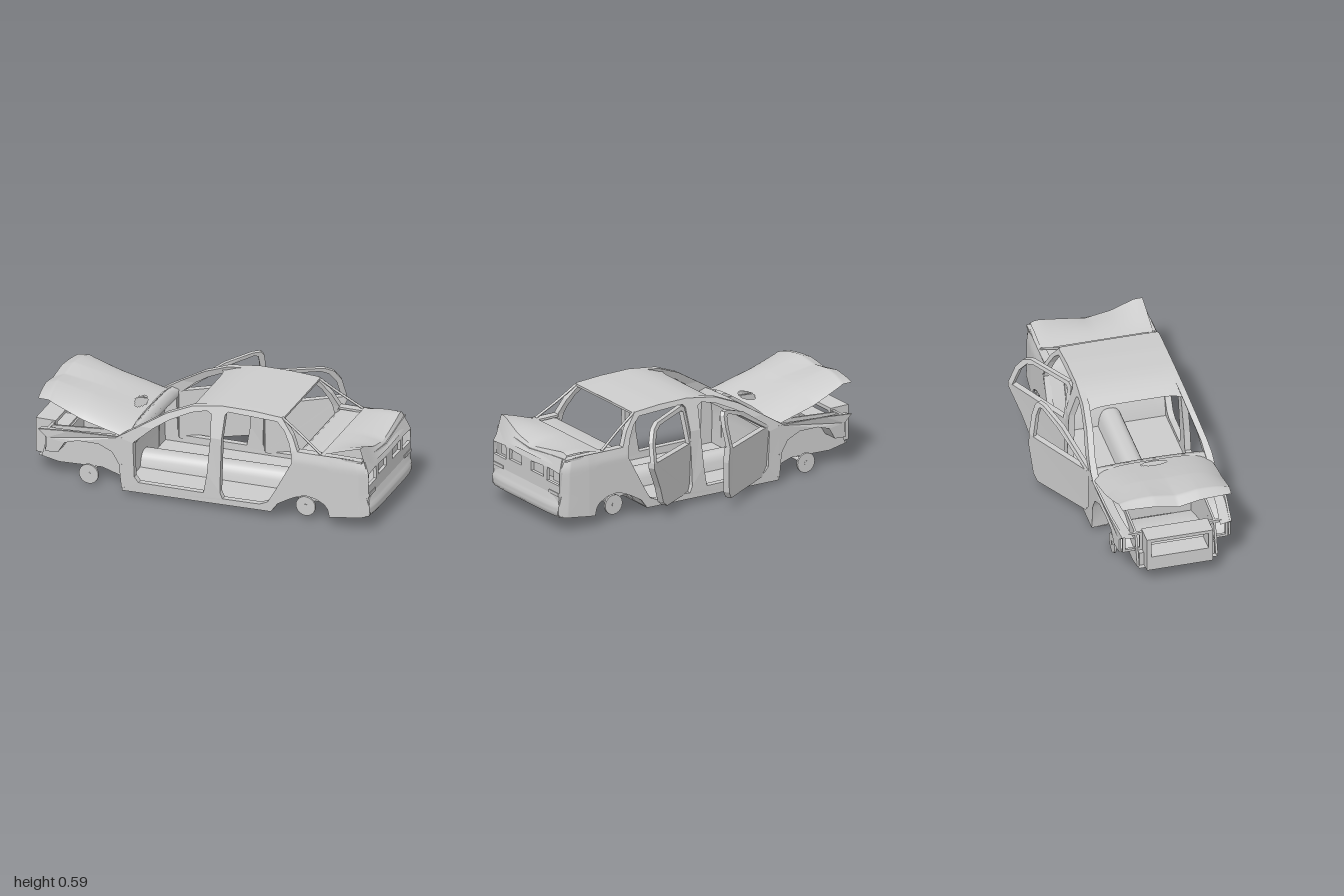
import * as THREE from 'three';

const mat = new THREE.MeshStandardMaterial({ color: 0xcccccc, side: THREE.DoubleSide });
const V = (a) => a.map(([x, y]) => new THREE.Vector2(x, y));

function add(parent, name, geo, x = 0, y = 0, z = 0) {
  const m = new THREE.Mesh(geo, mat);
  m.name = name;
  m.position.set(x, y, z);
  parent.add(m);
  return m;
}
const box = (p, name, w, h, d, x, y, z) => add(p, name, new THREE.BoxGeometry(w, h, d), x, y, z);

// Plate with holes
function plate(pts, depth, holes = []) {
  const s = new THREE.Shape(V(pts));
  holes.forEach((h) => s.holes.push(new THREE.Path(V(h))));
  return new THREE.ExtrudeGeometry(s, { depth, bevelEnabled: false });
}

// Move every vertex by a rule
function warp(geo, fn) {
  const p = geo.attributes.position;
  for (let i = 0; i < p.count; i++) p.setXYZ(i, ...fn(p.getX(i), p.getY(i), p.getZ(i)));
  geo.computeVertexNormals();
  return geo;
}
// Smooth sheet from a function of u, v in 0..1
const sheet = (nu, nv, fn) => warp(new THREE.PlaneGeometry(1, 1, nu, nv), (x, y) => fn(x + 0.5, y + 0.5));

// Piecewise linear curve through points
function lerp(pts, x) {
  for (let i = 1; i < pts.length; i++) {
    const [a, p] = pts[i - 1], [b, q] = pts[i];
    if (x <= b) return p + (q - p) * Math.max(0, (x - a) / (b - a));
  }
  return pts[pts.length - 1][1];
}
// Sheet spanning the car's width along an x-y profile
function across(profile, halfWidth, nv = 8, rise = 0) {
  const n = profile.length - 1;
  return sheet(n, nv, (u, v) => {
    const [x, y] = profile[Math.round(u * n)], t = 2 * v - 1;
    return [x, y + rise * (1 - t * t), -t * halfWidth];
  });
}
const strut = (parent, name, pts, r) => add(parent, name,
  new THREE.TubeGeometry(new THREE.CatmullRomCurve3(pts.map((p) => new THREE.Vector3(...p))), 12, r, 6));

// Half width of the body: tapered nose and tail, leaning greenhouse
const half = (x, y) => {
  const plan = lerp([[-0.95, 0.305], [-0.75, 0.33], [-0.4, 0.343], [0.8, 0.343], [0.93, 0.332], [0.985, 0.31]], x);
  return plan + lerp([[0.36, 0], [0.41, -0.012], [0.585, -0.065]], y);
};
const sidePlate = (pts, depth, s) => warp(plate(pts, depth),
  (x, y, z) => [x, y, s > 0 ? half(x, y) - depth + z : -half(x, y) + z]);

const lowerSide = [[-0.44, 0.018], [0.42, 0.036], [0.45, 0.09], [0.465, 0.147], [0.565, 0.345], [0.57, 0.41], [0.53, 0.41],
  [0.54, 0.345], [0.435, 0.147], [0.4, 0.09], [0.355, 0.07], [0.14, 0.065], [0.125, 0.1], [0.13, 0.41], [0.065, 0.41],
  [0.05, 0.2], [0.03, 0.083], [-0.345, 0.08], [-0.37, 0.11], [-0.378, 0.31], [-0.265, 0.41], [-0.345, 0.41],
  [-0.41, 0.37], [-0.47, 0.33], [-0.46, 0.17]];
const upperSide = [[-0.345, 0.41], [-0.265, 0.41], [-0.18, 0.467], [-0.06, 0.525], [0.03, 0.548], [0.055, 0.535],
  [0.065, 0.41], [0.13, 0.41], [0.135, 0.54], [0.15, 0.558], [0.435, 0.55], [0.48, 0.51], [0.515, 0.45], [0.53, 0.41],
  [0.57, 0.41], [0.53, 0.49], [0.46, 0.575], [0.3, 0.585], [0.12, 0.585], [-0.06, 0.558], [-0.2, 0.5]];
const arch = [[-0.445, 0.03], [-0.46, 0.17], [-0.5, 0.235], [-0.58, 0.268], [-0.7, 0.265], [-0.78, 0.238], [-0.82, 0.172], [-0.895, 0.163]];
const fender = [...arch, [-0.89, 0.245], [-0.94, 0.285], [-0.75, 0.312], [-0.47, 0.33], [-0.44, 0.33]];
const rearArch = [[0.42, 0.036], [0.46, 0.09], [0.52, 0.125], [0.57, 0.15], [0.62, 0.165], [0.68, 0.155], [0.73, 0.13], [0.752, 0.1]];

// Rear quarter panel between arch and shoulder, rounded into the tail
const quarterPanel = (s) => sheet(110, 16, (u, v) => {
  const x = 0.42 + 0.565 * u;
  const low = lerp([...rearArch, [0.757, 0.06], [0.86, 0.072], [0.96, 0.083], [0.985, 0.1]], x);
  const top = lerp([[0.42, 0.12], [0.445, 0.165], [0.54, 0.345], [0.552, 0.41], [0.8, 0.415], [0.985, 0.41]], x);
  const y = low + (top - low) * v;
  const tail = lerp([[0.1, 0.985], [0.2, 0.974], [0.34, 0.97], [0.41, 0.942]], y);
  return [x > 0.8 ? 0.8 + (x - 0.8) * (tail - 0.8) / 0.185 : x, y, s * (half(x, y) + 0.002)];
});

// Door: lower panel and window frame, each leaning in from the waist
function door(parent, name, panel, frame, x, z) {
  const g = new THREE.Group();
  g.name = name;
  const lean = (px, y, pz) => [px, y, pz + lerp([[0.05, 0.018], [0.345, 0], [0.37, 0], [0.56, 0.045]], y)];
  add(g, 'doorPanel', warp(plate(panel, 0.035), lean));
  add(g, 'windowFrame', warp(plate(frame, 0.025), lean));
  g.position.set(x, 0, z);
  g.rotation.y = 0.51;
  parent.add(g);
}

export function createModel() {
  const model = new THREE.Group();
  const body = new THREE.Group();
  body.name = 'carBody';
  body.position.z = 0.11;
  model.add(body);

  for (const s of [1, -1]) {
    add(body, 'sillAndPosts', sidePlate(lowerSide, 0.035, s));
    add(body, 'pillarsAndRail', sidePlate(upperSide, 0.035, s));
    add(body, 'rearQuarterPanel', quarterPanel(s));
    add(body, 'frontFender', sidePlate(fender, 0.012, s));
    // Wheel arch liners, inner walls and top flange
    for (const line of [arch, rearArch]) {
      add(body, 'archLiner', sheet(line.length - 1, 1, (u, v) => {
        const [x, y] = line[Math.round(u * (line.length - 1))];
        return [x, y, s * (half(x, y) - 0.002 - v * 0.11)];
      }));
    }
    add(body, 'engineBayWall', plate([[-0.95, 0.09], [-0.85, 0.07], [-0.6, 0.08], [-0.44, 0.03], [-0.44, 0.32], [-0.9, 0.28]], 0.012), 0, 0, s * 0.22 - 0.006);
    add(body, 'rearWheelWell', plate([[0.42, 0.04], [0.47, 0.095], [0.755, 0.085], [0.755, 0.3], [0.5, 0.3]], 0.012), 0, 0, s * 0.23 - 0.006);
    add(body, 'bayFlange', sheet(8, 1, (u, v) => {
      const x = -0.94 + 0.5 * u;
      return [x, 0.285 + 0.045 * u - 0.012 * v, s * (half(x, 0.3) - 0.005 - 0.06 * v)];
    }));
    strut(body, 'rearWindowStrut', [[0.46, 0.572, s * 0.272], [0.56, 0.505, s * 0.285], [0.7, 0.412, s * 0.315]], 0.007);
    box(body, 'deckGutter', 0.37, 0.012, 0.045, 0.755, 0.405, s * 0.308);
    // Bare wheel hubs
    for (const [x, y] of [[-0.655, 0.056], [0.6, 0.075]]) {
      for (const [r, w, o] of [[0.056, 0.012, 0.282], [0.024, 0.02, 0.276], [0.012, 0.16, 0.21]]) {
        add(body, 'wheelHub', new THREE.CylinderGeometry(r, r, w, 20).rotateX(Math.PI / 2), x, y, s * o);
      }
    }
  }

  // Roof sloping down to rounded windscreen corners
  add(body, 'roof', sheet(20, 20, (u, v) => {
    const t = 2 * v - 1;
    const front = -0.07 - 0.05 * Math.pow(Math.abs(t), 8);
    const x = front + (0.47 - front) * u;
    const y = lerp([[-0.12, 0.522], [-0.07, 0.535], [0, 0.563], [0.07, 0.58], [0.14, 0.586], [0.3, 0.586], [0.47, 0.575]], x);
    return [x, y + 0.002 * (1 - t * t), -t * (half(x, y) - 0.006)];
  }));
  box(body, 'rearHeader', 0.03, 0.012, 0.53, 0.455, 0.568, 0);

  // Underbody, floor, transmission tunnel, bulkhead and parcel shelf
  add(body, 'underbody', across([[-0.44, 0.018], [0.42, 0.036]], 0.342));
  add(body, 'floorPan', across([[-0.44, 0.038], [0.43, 0.046]], 0.342));
  add(body, 'tunnel', sheet(1, 14, (u, v) => {
    const t = 2 * v - 1;
    return [-0.44 + 0.88 * u, 0.04 + (0.08 + 0.02 * u) * Math.pow(1 - Math.pow(Math.abs(t), 3), 0.7), -t * 0.072];
  }));
  add(body, 'rearBulkhead', across([[0.42, 0.04], [0.44, 0.13], [0.475, 0.2], [0.54, 0.36], [0.57, 0.385], [0.7, 0.4], [0.72, 0.385]], 0.315));
  add(body, 'firewall', across([[-0.44, 0.02], [-0.445, 0.2], [-0.43, 0.34], [-0.4, 0.362], [-0.36, 0.35], [-0.37, 0.3]], 0.325, 8, 0.012));

  // Engine bay floor, trunk floor and the open nose
  add(body, 'bayFloor', across([[-0.97, 0.09], [-0.85, 0.07], [-0.6, 0.085], [-0.44, 0.03]], 0.22));
  add(body, 'trunkFloor', across([[0.42, 0.036], [0.48, 0.095], [0.755, 0.085]], 0.23));
  add(body, 'trunkWell', across([[0.755, 0.16], [0.757, 0.063], [0.86, 0.075], [0.965, 0.088]], 0.325));
  const rect = (a, b, c, d) => [[a, c], [b, c], [b, d], [a, d]];
  const facing = (pts, depth, holes) => plate(pts, depth, holes).rotateY(Math.PI / 2);
  add(body, 'radiatorSupport', facing(rect(-0.295, 0.295, 0.165, 0.28), 0.015,
    [rect(-0.28, -0.2, 0.18, 0.265), rect(-0.17, 0.17, 0.175, 0.265), rect(0.2, 0.28, 0.18, 0.265)]), -0.905);
  add(body, 'noseFrame', facing(rect(-0.185, 0.185, 0.09, 0.29), 0.115, [rect(-0.16, 0.16, 0.175, 0.27)]), -1);
  box(body, 'lowerCrossMember', 0.06, 0.08, 0.42, -0.905, 0.125, 0);

  // Tail panel with lamp and plate openings
  const mirror = (h) => h.map(([z, y]) => [-z, y]).reverse();
  const lamp = [[0.195, 0.265], [0.315, 0.265], [0.315, 0.335], [0.2, 0.342]];
  const number = [[0.045, 0.276], [0.165, 0.276], [0.16, 0.338], [0.045, 0.33]];
  const tail = facing([[-0.312, 0.085], [0.312, 0.085], [0.318, 0.34], [0.3, 0.412], [0.2, 0.405], [0, 0.385], [-0.2, 0.405], [-0.3, 0.412], [-0.318, 0.34]],
    0.018, [lamp, mirror(lamp), number, mirror(number)]);
  add(body, 'tailPanel', warp(tail, (x, y, z) => [x + 0.957 - Math.max(0, y - 0.34) * 0.4, y, z]));
  add(body, 'rearBumper', sheet(20, 8, (u, v) => {
    const t = 2 * u - 1, y = 0.085 + 0.12 * v;
    return [lerp([[0.085, 0.982], [0.1, 0.994], [0.145, 0.996], [0.16, 0.988], [0.205, 0.976]], y) - 0.014 * t ** 6, y, -t * 0.318];
  }));
  for (const s of [1, -1]) {
    box(body, 'markerStrip', 0.01, 0.018, 0.095, 0.975, 0.213, s * 0.265);
    box(body, 'lampRecess', 0.01, 0.085, 0.11, 0.925, 0.3, s * 0.25);
    box(body, 'plateRecess', 0.006, 0.07, 0.13, 0.952, 0.305, s * 0.105);
  }

  // Crumpled trunk lid, one rear corner bent up, with a folded rear lip
  const bend = (z) => lerp([[-0.315, 0.02], [-0.28, 0.032], [0, -0.014], [0.14, 0.012], [0.27, 0.068], [0.315, 0.07]], z);
  const bowed = (z) => 0.012 * (1 - (z / 0.315) ** 2);
  add(body, 'trunkLid', sheet(12, 24, (u, v) => {
    const z = 0.315 - 0.63 * v;
    return [0.7 + (0.225 + bowed(z)) * u, 0.41 + bend(z) * u ** 1.6 + 0.012 * Math.sin(Math.PI * u), z];
  }));
  add(body, 'trunkLidLip', sheet(1, 24, (u, v) => {
    const z = 0.315 - 0.63 * v, top = 0.41 + bend(z);
    return [0.925 + bowed(z) + 0.035 * u, top + (0.365 - top) * u, z];
  }));

  // Bent open hood with a lens-shaped cutout near the hinge
  const hood = sheet(64, 64, (u, v) => {
    const t = 1 - 2 * v;
    const x = -0.41 - (0.53 + 0.03 * (1 - t * t)) * u;
    const crest = lerp([[0, 0.382], [0.25, 0.422], [0.5, 0.46], [0.75, 0.488], [0.88, 0.503], [1, 0.478]], u);
    const edge = lerp([[0, 0.056], [0.5, 0.07], [0.85, 0.04], [1, 0.012]], u) * Math.abs(t) ** 4;
    const dent = 0.022 * u * u * Math.max(0, 1 - Math.abs(t) / 0.4);
    return [x, crest - edge - dent, t * (0.332 - 0.028 * u * u)];
  });
  const pos = hood.attributes.position, kept = [], idx = hood.index.array;
  for (let i = 0; i < idx.length; i += 3) {
    let x = 0, z = 0;
    for (let k = 0; k < 3; k++) { x += pos.getX(idx[i + k]) / 3; z += pos.getZ(idx[i + k]) / 3; }
    if (Math.abs(x + 0.462) / 0.03 + (z / 0.078) ** 2 > 1) kept.push(idx[i], idx[i + 1], idx[i + 2]);
  }
  hood.setIndex(kept);
  add(body, 'hood', hood);

  // Two doors standing open on one side
  door(model, 'frontDoor',
    [[0, 0.07], [0.02, 0.06], [0.42, 0.06], [0.45, 0.1], [0.475, 0.28], [0.468, 0.365], [0.43, 0.355], [0, 0.34]],
    [[0, 0.34], [0.04, 0.342], [0.28, 0.485], [0.41, 0.538], [0.43, 0.53], [0.44, 0.48], [0.435, 0.355], [0.468, 0.365], [0.472, 0.48], [0.462, 0.54], [0.445, 0.56], [0.4, 0.556], [0.25, 0.5]],
    -0.38, -0.226);
  door(model, 'rearDoor',
    [[0, 0.07], [0.02, 0.06], [0.26, 0.065], [0.31, 0.1], [0.36, 0.2], [0.45, 0.34], [0.45, 0.37], [0.42, 0.365], [0, 0.345]],
    [[0, 0.345], [0.025, 0.346], [0.03, 0.525], [0.05, 0.537], [0.3, 0.538], [0.345, 0.52], [0.39, 0.465], [0.42, 0.365], [0.45, 0.37], [0.42, 0.475], [0.375, 0.535], [0.32, 0.558], [0.03, 0.56], [0.005, 0.54]],
    0.12, -0.219);
  return model;
}
